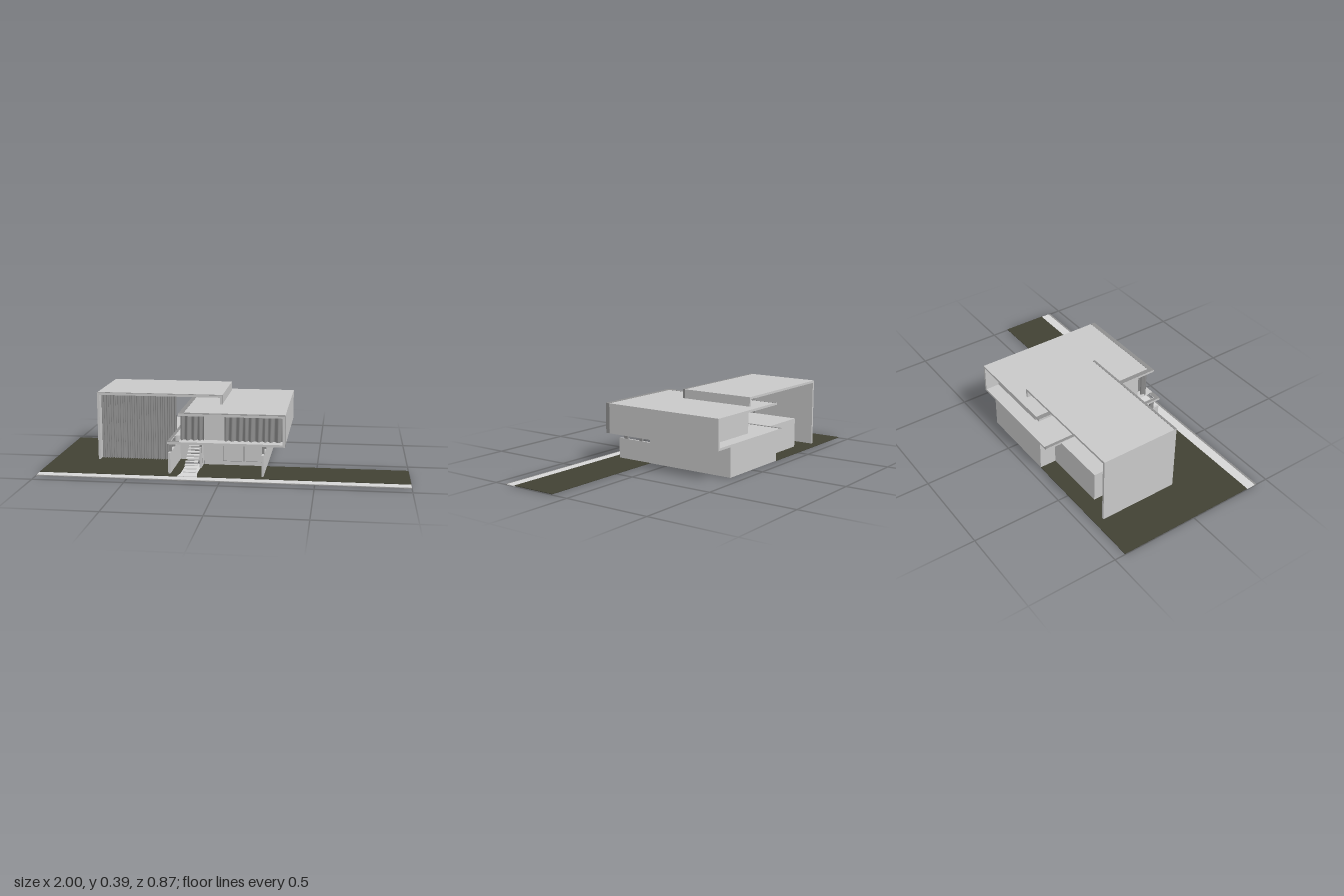
import * as THREE from 'three';

const material = (name, color, side = THREE.FrontSide) => {
  const m = new THREE.MeshStandardMaterial({ color, side });
  m.name = name;
  return m;
};

export function createModel() {
  const house = new THREE.Group();
  house.name = 'modernHouse';

  const plaster = material('plaster', 0xc8c8c8);
  const trim = material('edgeTrim', 0x8e8e8e);
  const lawn = material('lawn', 0x414134, THREE.DoubleSide);
  const paving = material('paving', 0xd6d6d6);
  const cloth = material('curtain', 0x8c8c8c, THREE.DoubleSide);

  // Box given by its limits on each axis
  function box(name, mat, x0, x1, y0, y1, z0, z1, parent = house) {
    const mesh = new THREE.Mesh(new THREE.BoxGeometry(x1 - x0, y1 - y0, z1 - z0), mat);
    mesh.position.set((x0 + x1) / 2, (y0 + y1) / 2, (z0 + z1) / 2);
    mesh.name = name;
    parent.add(mesh);
    return mesh;
  }

  // Flat plate from an x/z outline, with optional holes
  function plate(name, mat, points, y, height, holes = []) {
    const outline = (list) => list.map(([x, z]) => new THREE.Vector2(x, -z));
    const shape = new THREE.Shape(outline(points));
    holes.forEach((h) => shape.holes.push(new THREE.Path(outline(h))));
    const geo = new THREE.ExtrudeGeometry(shape, { depth: height, bevelEnabled: false });
    geo.rotateX(-Math.PI / 2);
    const mesh = new THREE.Mesh(geo, mat);
    mesh.position.y = y;
    mesh.name = name;
    house.add(mesh);
  }

  // Folded curtain: a sheet whose columns swing back and forth in z
  function curtain(name, x0, x1, y0, y1, z, folds, depth) {
    const geo = new THREE.PlaneGeometry(x1 - x0, y1 - y0, folds * 6, 1);
    const p = geo.attributes.position;
    for (let i = 0; i < p.count; i++) {
      const t = (p.getX(i) - (x0 - x1) / 2) / (x1 - x0);
      const a = t * folds * Math.PI * 2;
      p.setZ(i, depth * Math.sin(a + 0.6 * Math.sin(a * 0.31)));
    }
    geo.computeVertexNormals();
    const mesh = new THREE.Mesh(geo, cloth);
    mesh.position.set((x0 + x1) / 2, (y0 + y1) / 2, z);
    mesh.name = name;
    house.add(mesh);
  }

  // Site: L-shaped lawn with a gap for the path, and the pavement strip
  plate('lawn', lawn, [
    [-1, -0.44], [-0.24, -0.44], [-0.24, 0.1], [1, 0.1], [1, 0.365],
    [-0.13, 0.365], [-0.14, 0.31], [-0.14, 0.11], [-0.23, 0.11], [-0.23, 0.31],
    [-0.24, 0.365], [-1, 0.365],
  ], 0.003, 0.003);
  box('pavement', paving, -1, 1, 0, 0.004, 0.365, 0.42);
  box('kerb', trim, -1, 1, 0, 0.003, 0.42, 0.432);
  plate('entrancePath', paving, [
    [-0.24, 0.365], [-0.23, 0.31], [-0.23, 0.1], [-0.14, 0.1], [-0.14, 0.31], [-0.13, 0.365],
  ], 0.002, 0.005);

  // Ground floor: garage block, recessed entrance and low rear annexe
  box('garageBlock', plaster, -0.13, 0.223, 0.005, 0.172, -0.44, 0.1);
  box('entranceBlock', plaster, -0.24, -0.13, 0.005, 0.172, -0.44, 0.02);
  box('annexe', plaster, -0.607, -0.24, 0.005, 0.178, -0.346, 0.0);

  // Garage doors, each a raised panel on a thin dark surround
  for (const x of [-0.025, 0.097]) {
    box('garageDoorSurround', trim, x, x + 0.115, 0.028, 0.152, 0.1, 0.102);
    box('garageDoor', plaster, x + 0.003, x + 0.112, 0.031, 0.149, 0.1, 0.105);
  }
  box('entranceDoor', trim, -0.22, -0.15, 0.04, 0.15, 0.02, 0.025);

  // Low front walls with short posts carrying the slab
  for (const [x0, x1, zBack] of [[-0.295, -0.283, 0.0], [-0.146, -0.134, 0.1], [0.211, 0.223, 0.1]]) {
    const isPath = x0 === -0.146;
    box('frontWall', plaster, x0, x1, 0.005, 0.122, zBack, isPath ? 0.18 : 0.32);
    box('slabPost', trim, x0, x1, isPath ? 0.005 : 0.122, 0.172, 0.155, 0.172);
    if (!isPath) box('slabPost', trim, x0, x1, 0.122, 0.172, 0.26, 0.285);
  }
  box('sideWall', plaster, -0.295, -0.283, 0.122, 0.172, 0.0, 0.1);

  // Entrance steps
  const steps = 9;
  for (let i = 0; i < steps; i++) {
    const y = 0.012 + i * 0.012;
    box('entranceStep', paving, -0.22, -0.15, y - 0.005, y, 0.265 - i * 0.026, 0.293 - i * 0.026);
  }

  // Upper floor ribbon: floor slab with light well, right wall and roof
  plate('floorSlab', plaster,
    [[-0.3, -0.44], [0.335, -0.44], [0.335, 0.32], [-0.3, 0.32]], 0.17, 0.013,
    [[[-0.28, 0.17], [-0.24, 0.17], [-0.24, 0.293], [-0.28, 0.293]]]);
  box('upperSideWall', plaster, 0.322, 0.335, 0.183, 0.327, -0.44, 0.32);
  box('upperRoof', plaster, -0.237, 0.335, 0.327, 0.34, -0.44, 0.32);

  // Dark bands on the outer edges of the ribbon
  const e = 0.001;
  box('roofFrontBand', trim, -0.237, 0.335, 0.34, 0.34 + e, 0.295, 0.32);
  box('roofEndBand', trim, -0.237, -0.212, 0.34, 0.34 + e, -0.44, 0.295);
  box('wallFrontBand', trim, 0.335, 0.335 + e, 0.17, 0.34, 0.295, 0.32);
  box('slabFrontBand', trim, -0.3, -0.237, 0.183, 0.183 + e, 0.295, 0.32);
  box('slabEndBand', trim, -0.3, -0.284, 0.183, 0.183 + e, -0.44, 0.295);

  // Upper rooms set back from the ribbon
  box('upperRooms', plaster, -0.07, 0.322, 0.183, 0.327, -0.36, 0.23);
  box('upperSideRoom', plaster, -0.215, -0.07, 0.183, 0.327, -0.08, 0.23);
  box('upperFrontPanel', plaster, -0.105, 0.005, 0.183, 0.327, 0.23, 0.25);
  curtain('upperLeftCurtain', -0.235, -0.105, 0.183, 0.327, 0.262, 4, 0.014);
  curtain('upperRightCurtain', 0.005, 0.32, 0.183, 0.327, 0.262, 9, 0.014);

  // Tall wing: left wall, long roof and hanging end lip
  box('tallWall', plaster, -0.75, -0.737, 0.005, 0.38, -0.39, 0.06);
  box('tallRoof', plaster, -0.75, -0.035, 0.38, 0.393, -0.39, 0.06);
  box('tallRoofLip', plaster, -0.047, -0.035, 0.341, 0.38, -0.39, 0.06);
  box('tallRoofFrontBand', trim, -0.75, -0.035, 0.393, 0.393 + e, 0.047, 0.06);
  box('tallLipFrontBand', trim, -0.035, -0.035 + e, 0.341, 0.393, 0.047, 0.06);
  curtain('tallCurtain', -0.733, -0.3, 0.005, 0.38, 0.022, 32, 0.012);

  return house;
}
